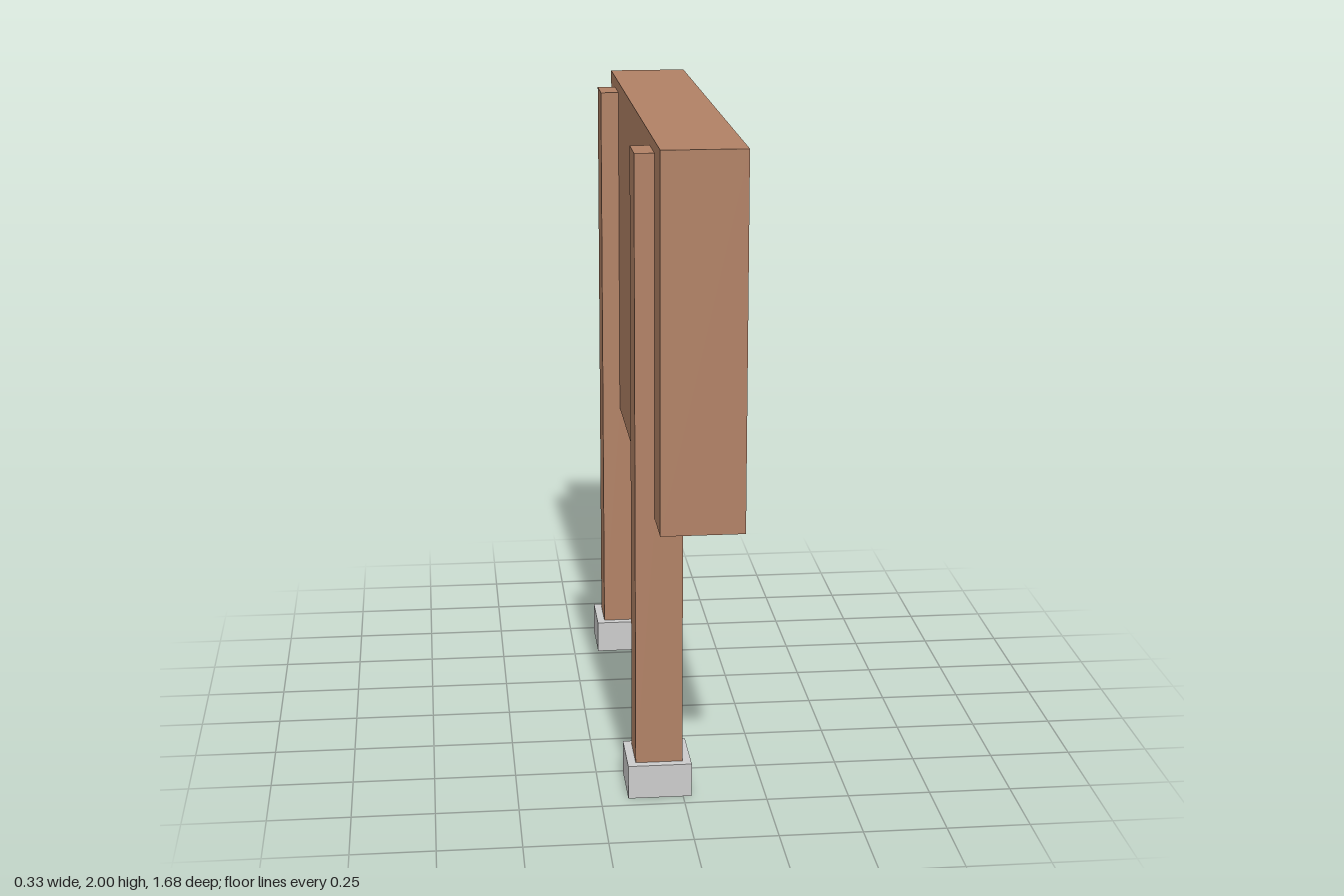
import * as THREE from 'three';

const wood = new THREE.MeshStandardMaterial({ color: 0xb18165 });
const board = new THREE.MeshStandardMaterial({ color: 0xdabd9f });
const stone = new THREE.MeshStandardMaterial({ color: 0xcccccc });

// Box given by its lower and upper limits on each axis
function box(name, material, [x0, x1], [y0, y1], [z0, z1]) {
  const mesh = new THREE.Mesh(new THREE.BoxGeometry(x1 - x0, y1 - y0, z1 - z0), material);
  mesh.position.set((x0 + x1) / 2, (y0 + y1) / 2, (z0 + z1) / 2);
  mesh.name = name;
  return mesh;
}

// Counter-clockwise rectangle
function rectangle(path, x0, x1, y0, y1) {
  path.moveTo(x0, y0).lineTo(x1, y0).lineTo(x1, y1).lineTo(x0, y1).closePath();
  return path;
}

export function createModel() {
  const group = new THREE.Group();
  group.name = 'noticeBoard';

  const back = -0.084, front = 0.165;
  const boardX = 0.05;
  const openY = [1.04, 1.84], openZ = [-0.663, 0.667];

  // Frame: outline with a window, extruded through the thickness and turned to face +x
  const outline = rectangle(new THREE.Shape(), -0.84, 0.84, 0.88, 2);
  outline.holes.push(rectangle(new THREE.Path(), -openZ[1], -openZ[0], ...openY));
  const frame = new THREE.Mesh(
    new THREE.ExtrudeGeometry(outline, { depth: front - back, bevelEnabled: false }), wood);
  frame.rotation.y = Math.PI / 2;
  frame.position.x = back;
  frame.name = 'frame';
  group.add(frame);

  // Backing closes the window, with the pale notice panel in front of it
  group.add(box('backing', wood, [back, boardX - 0.02], openY, openZ));
  group.add(box('noticePanel', board, [boardX - 0.02, boardX], openY, openZ));

  // Two posts with footings
  for (const [side, z] of [['left', 0.607], ['right', -0.616]]) {
    group.add(box(side + 'Post', wood, [-0.142, 0], [0.1, 1.965], [z - 0.07, z + 0.07]));
    group.add(box(side + 'Footing', stone, [-0.167, 0.026], [0, 0.105], [z - 0.096, z + 0.096]));
  }
  return group;
}
